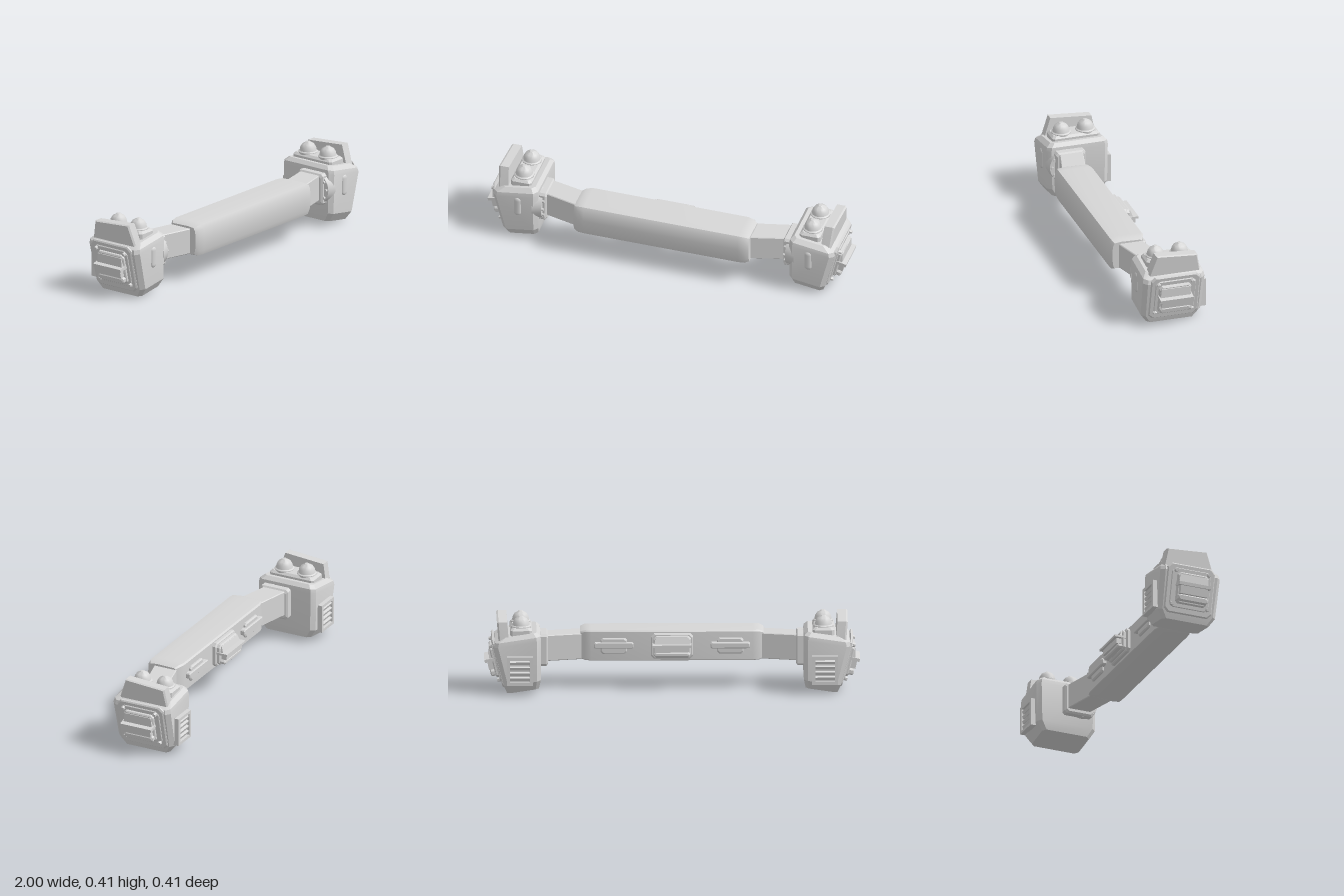
import * as THREE from 'three';
import { toCreasedNormals } from 'three/addons/utils/BufferGeometryUtils.js';

const grey = new THREE.MeshStandardMaterial({ color: 0xd6d6d6 });
grey.name = 'bareGrey';

function add(parent, name, geometry, x = 0, y = 0, z = 0) {
  const mesh = new THREE.Mesh(geometry, grey);
  mesh.name = name;
  mesh.position.set(x, y, z);
  parent.add(mesh);
  return mesh;
}

function addGroup(parent, name, x = 0, y = 0, z = 0) {
  const group = new THREE.Group();
  group.name = name;
  group.position.set(x, y, z);
  parent.add(group);
  return group;
}

// Skins counter-clockwise rings of [x, y, z] points and caps both ends
function loft(rings, crease = 0.4) {
  const pos = [];
  const n = rings[0].length;
  const tri = (a, b, c) => pos.push(...a, ...b, ...c);
  for (let i = 0; i < rings.length - 1; i++) {
    for (let j = 0; j < n; j++) {
      const k = (j + 1) % n;
      tri(rings[i][j], rings[i][k], rings[i + 1][k]);
      tri(rings[i][j], rings[i + 1][k], rings[i + 1][j]);
    }
  }
  const first = rings[0], last = rings[rings.length - 1];
  for (let j = 1; j < n - 1; j++) {
    tri(first[0], first[j + 1], first[j]);
    tri(last[0], last[j], last[j + 1]);
  }
  const g = new THREE.BufferGeometry();
  g.setAttribute('position', new THREE.Float32BufferAttribute(pos, 3));
  return toCreasedNormals(g, crease);
}

// Rectangle u0..u1 by v0..v1 with cut corners, counter-clockwise
const octagon = (u0, u1, v0, v1, c) => [
  [u0 + c, v0], [u1 - c, v0], [u1, v0 + c], [u1, v1 - c],
  [u1 - c, v1], [u0 + c, v1], [u0, v1 - c], [u0, v0 + c],
];

// Cut-corner plate rising along +z, with a bevelled outer rim
function plate(w, h, d, c, bevel = 0.006) {
  const ring = (s, z) =>
    octagon(-w / 2 + s, w / 2 - s, -h / 2 + s, h / 2 - s, c).map(([u, v]) => [u, v, z]);
  return loft([ring(0, 0), ring(0, d - bevel), ring(bevel, d)]);
}

// Block along x from station list [x, y0, y1, z0, z1, corner]
const blockAlongX = (stations) => loft(stations.map(([x, y0, y1, z0, z1, c]) =>
  octagon(y0, y1, z0, z1, c).map(([y, z]) => [x, y, z])));

// Stepped latch: sloped upper hood, shelf, recess and lower lip; faces +z
function addLatch(parent, name, w, h, depth) {
  const g = addGroup(parent, name);
  add(g, 'latchBase', plate(w, h, depth * 0.35, 0.014));
  const hood = [[0, 0.47], [depth * 0.4, 0.43], [depth * 0.6, 0.1], [0, 0.1]];
  add(g, 'latchHood', loft([-1, 1].map((s) =>
    hood.map(([z, v]) => [s * w * (v > 0.2 ? 0.44 : 0.48), v * h, z]))));
  add(g, 'latchShelf', new THREE.BoxGeometry(w * 1.04, h * 0.1, depth), 0, h * 0.1, depth / 2);
  add(g, 'latchRecess', new THREE.BoxGeometry(w * 0.88, h * 0.26, depth * 0.8), 0, -h * 0.08, depth * 0.4);
  add(g, 'latchLip', plate(w * 0.96, h * 0.2, depth * 0.75, 0.008), 0, -h * 0.33, 0);
}

function addPod(parent, name, side) {
  const pod = addGroup(parent, name);
  pod.scale.x = side;

  // Flared housing: [y, x0, x1, z0, z1, corner], tipped down at the outside
  const levels = [
    [0, 0.71, 0.88, -0.145, 0.125, 0.018],
    [0.048, 0.7, 0.897, -0.178, 0.158, 0.022],
    [0.265, 0.7, 0.95, -0.182, 0.163, 0.022],
    [0.288, 0.703, 0.945, -0.178, 0.158, 0.022],
    [0.309, 0.722, 0.905, -0.157, 0.135, 0.018],
  ];
  add(pod, 'housing', loft(levels.map(([y, x0, x1, z0, z1, c]) =>
    octagon(z0, z1, x0, x1, c).map(([z, x]) => [x, y + (0.88 - x) * 0.15, z]))));

  // Twin domes on a raised deck
  const deck = add(pod, 'domeDeck', plate(0.115, 0.265, 0.045, 0.012, 0.012), 0.805, 0.308, -0.015);
  deck.rotation.x = -Math.PI / 2;
  const profile = [[0.053, 0.34], [0.053, 0.357], [0.046, 0.362], [0.042, 0.38],
    [0.032, 0.396], [0.016, 0.405], [0.011, 0.41], [0, 0.41]];
  for (const z of [-0.082, 0.053]) {
    const dome = new THREE.LatheGeometry(profile.map((p) => new THREE.Vector2(...p)), 24);
    add(pod, 'dome', toCreasedNormals(dome, 0.6), 0.805, 0, z);
  }

  // Upright fin above the outer panel, leaning slightly outward
  const finSide = [[-0.162, 0.26], [-0.158, 0.3], [-0.142, 0.388], [0.088, 0.405], [0.125, 0.3], [0.135, 0.26]];
  const finRing = (x, s) => finSide.map(([z, y]) =>
    [x + (y - 0.3) * 0.08, 0.3 + (y - 0.3) * s, -0.015 + (z + 0.015) * s]);
  add(pod, 'fin', loft([finRing(0.872, 1), finRing(0.918, 1), finRing(0.927, 0.95)]));

  // Tilted outer panel with bolts and latch
  const panel = addGroup(pod, 'outerPanel', 0.924, 0.163, -0.013);
  panel.rotation.set(0, Math.PI / 2, -0.235, 'ZYX');
  add(panel, 'panelPlate', plate(0.275, 0.27, 0.014, 0.022), 0, 0, -0.004);
  add(panel, 'panelInset', plate(0.225, 0.215, 0.008, 0.02, 0.003), 0, 0.003, 0.008);
  for (const [u, v] of [[-0.098, 0.096], [0.092, 0.096], [-0.106, -0.09], [0.1, -0.09]]) {
    const bolt = add(panel, 'panelBolt', toCreasedNormals(
      new THREE.CylinderGeometry(0.009, 0.012, 0.016, 6), 0.3), u, v, 0.022);
    bolt.rotation.x = Math.PI / 2;
  }
  const latchSeat = addGroup(panel, 'latchSeat', -0.006, 0.002, 0.012);
  addLatch(latchSeat, 'outerLatch', 0.178, 0.17, 0.06);

  // Slatted vent on the back
  const vent = addGroup(pod, 'rearVent', 0.812, 0.133, -0.175);
  vent.rotation.y = Math.PI;
  add(vent, 'ventBack', new THREE.BoxGeometry(0.135, 0.15, 0.014), 0, 0, 0.007);
  for (const s of [-1, 1]) {
    add(vent, 'ventSide', new THREE.BoxGeometry(0.018, 0.155, 0.03), s * 0.061, 0, 0.015);
    add(vent, 'ventRail', new THREE.BoxGeometry(0.14, 0.016, 0.03), 0, s * 0.07, 0.015);
  }
  for (let i = 0; i < 4; i++) {
    const slat = add(vent, 'ventSlat', new THREE.BoxGeometry(0.108, 0.016, 0.014), 0, -0.043 + i * 0.029, 0.018);
    slat.rotation.x = 0.4;
  }

  // Capsule marker on the front
  const marker = add(pod, 'frontMarker', new THREE.CapsuleGeometry(0.02, 0.075, 6, 16), 0.81, 0.213, 0.16);
  marker.scale.z = 0.5;

  // Round hub with bolts and square flange on the inner side
  const hub = add(pod, 'innerHub', toCreasedNormals(
    new THREE.CylinderGeometry(0.086, 0.095, 0.05, 28), 0.5), 0.705, 0.21, 0.07);
  hub.rotation.z = Math.PI / 2;
  for (let i = 0; i < 10; i++) {
    const a = (i / 10) * Math.PI * 2;
    const bolt = add(pod, 'hubBolt', new THREE.CylinderGeometry(0.008, 0.008, 0.016, 8),
      0.676, 0.21 + Math.sin(a) * 0.074, 0.07 + Math.cos(a) * 0.074);
    bolt.rotation.z = Math.PI / 2;
  }
  add(pod, 'innerFlange', blockAlongX([
    [0.66, 0.135, 0.288, -0.03, 0.118, 0.012],
    [0.668, 0.125, 0.298, -0.04, 0.128, 0.012],
    [0.71, 0.125, 0.298, -0.04, 0.128, 0.012],
  ]));

  // Angled arm to the beam
  add(pod, 'arm', blockAlongX([
    [0.44, 0.15, 0.29, 0.03, 0.165, 0.004],
    [0.69, 0.15, 0.29, -0.03, 0.1, 0.004],
  ]));
}

export function createModel() {
  const model = new THREE.Group();
  model.name = 'bumper';

  // Main beam with a gently bowed front and tapered ends
  const section = [[0.145, 0.008], [0.15, 0], [0.302, 0], [0.31, 0.008], [0.313, 0.145], [0.308, 0.187],
    [0.285, 0.199], [0.23, 0.203], [0.165, 0.199], [0.14, 0.19], [0.137, 0.15]];
  const stations = [[-0.488, 0.87, 0.025], [-0.465, 0.98, 0.01], [-0.43, 1, 0],
    [0.43, 1, 0], [0.465, 0.98, 0.01], [0.488, 0.87, 0.025]];
  add(model, 'beam', loft(stations.map(([x, s, back]) => section.map(([y, z]) =>
    [x, 0.225 + (y - 0.225) * s, z < 0.1 ? z + back : 0.1 + (z - 0.1) * s])), 0.6));

  // Fittings on the back of the beam
  const rear = addGroup(model, 'rearFittings', 0, 0.228, 0.004);
  rear.rotation.y = Math.PI;
  add(rear, 'centrePlate', plate(0.225, 0.135, 0.025, 0.016));
  const centre = addGroup(rear, 'centreSeat', 0, 0, 0.02);
  addLatch(centre, 'centreLatch', 0.2, 0.115, 0.068);
  for (const s of [-1, 1]) {
    const clip = addGroup(rear, s < 0 ? 'leftClip' : 'rightClip', s * 0.31, 0, 0);
    add(clip, 'clipPlate', plate(0.14, 0.085, 0.018, 0.01));
    add(clip, 'clipBar', plate(0.21, 0.032, 0.029, 0.006, 0.004), 0, 0.004, 0);
  }

  addPod(model, 'leftPod', 1);
  addPod(model, 'rightPod', -1);
  return model;
}
